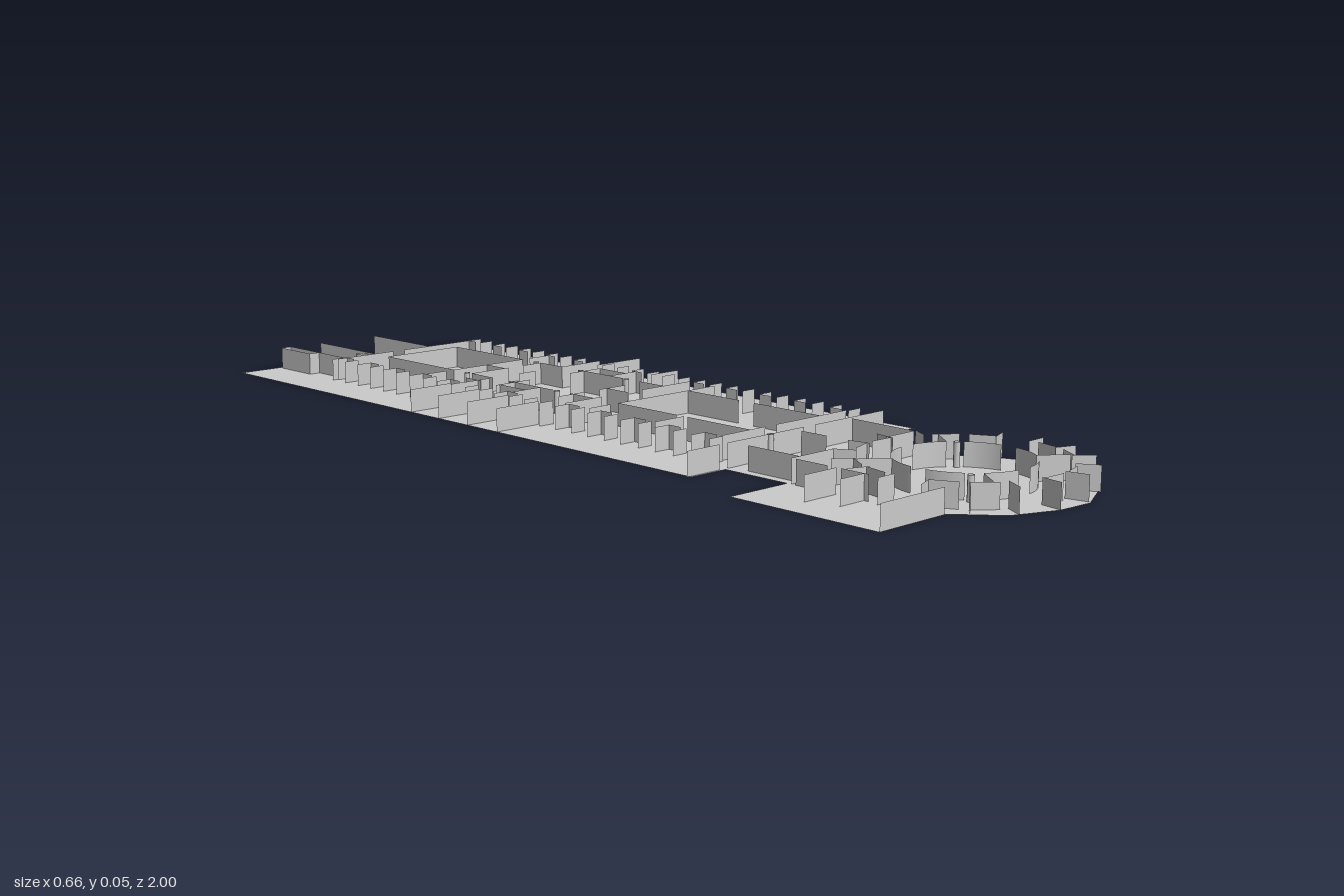
import * as THREE from 'three';

const H = 0.046;
const mat = new THREE.MeshStandardMaterial({ color: 0xcccccc, side: THREE.DoubleSide });

export function createModel() {
  const model = new THREE.Group();
  model.name = 'floorPlan';
  const section = (name) => {
    const g = new THREE.Group();
    g.name = name;
    model.add(g);
    return g;
  };
  const put = (group, geo, name, x, z, y = H / 2) => {
    const m = new THREE.Mesh(geo, mat);
    m.name = name;
    m.position.set(x, y, z);
    group.add(m);
    return m;
  };
  // Thin upright wall between two plan points
  const wall = (group, x1, z1, x2, z2, name = 'wall') => {
    const geo = new THREE.PlaneGeometry(Math.hypot(x2 - x1, z2 - z1), H);
    put(group, geo, name, (x1 + x2) / 2, (z1 + z2) / 2).rotation.y = -Math.atan2(z2 - z1, x2 - x1);
  };
  const alongX = (g, z, spans) => spans.forEach(([a, b]) => wall(g, a, z, b, z));
  const alongZ = (g, x, spans) => spans.forEach(([a, b]) => wall(g, x, a, x, b));

  // Floor slab outline, including the round wing and side platform
  const outline = [
    [-0.33, 0.56], [-0.19, 0.56], [-0.19, 0.415], [-0.275, 0.415], [-0.275, -1], [0.33, -1],
    [0.33, 0.415], [0.145, 0.42], [0.137, 0.57], [0.22, 0.645], [0.26, 0.75], [0.235, 0.86],
    [0.17, 0.945], [0.065, 0.995], [-0.01, 0.99], [-0.1, 0.955], [-0.165, 0.88], [-0.33, 0.88],
  ];
  const floorGeo = new THREE.ShapeGeometry(new THREE.Shape(outline.map((p) => new THREE.Vector2(...p))));
  floorGeo.rotateX(Math.PI / 2);
  put(model, floorGeo, 'floor', 0, 0, 0);

  // Side facades: regular fins with short wall panels between some of them
  const facade = section('facades');
  for (let i = 0; i <= 26; i++) {
    const z = -0.785 + i * 0.046;
    for (const [a, b] of [[-0.18, -0.145], [0.195, 0.23]]) {
      wall(facade, a, z, b, z, 'facadeFin');
      if (i % 2 === 0 && i < 26 && i !== 10 && i !== 14) {
        const x = a < 0 ? b : a;
        wall(facade, x, z, x, z + 0.03, 'facadePanel');
      }
    }
  }

  // End walls of the long building
  const ends = section('endWalls');
  alongX(ends, 0.41, [[-0.28, -0.2], [-0.18, 0.02], [0.05, 0.245]]);
  alongX(ends, -0.78, [[-0.17, -0.02], [0.01, 0.23]]);

  // Court rooms at both ends
  const courts = section('courtWalls');
  alongZ(courts, -0.07, [[0.01, 0.17], [0.2, 0.36], [-0.73, -0.5]]);
  alongZ(courts, 0.12, [[0.01, 0.15], [0.19, 0.36], [-0.73, -0.5]]);
  alongX(courts, 0.36, [[-0.145, -0.03], [0.0, 0.195]]);
  alongX(courts, 0.19, [[-0.145, -0.07]]);
  alongX(courts, 0.01, [[-0.145, -0.09], [-0.07, 0.195]]);
  alongX(courts, -0.5, [[-0.145, -0.09], [-0.07, 0.12], [0.14, 0.195]]);
  alongX(courts, -0.73, [[-0.07, 0.12]]);

  // Small rooms in the middle
  const rooms = section('middleRooms');
  alongX(rooms, -0.06, [[-0.145, -0.05], [0.06, 0.195]]);
  alongX(rooms, -0.12, [[-0.11, -0.04], [0.0, 0.07]]);
  alongX(rooms, -0.22, [[-0.145, -0.07], [0.12, 0.195]]);
  alongX(rooms, -0.3, [[-0.12, -0.03], [0.08, 0.165]]);
  alongX(rooms, -0.37, [[-0.145, -0.08], [0.0, 0.045], [0.12, 0.195]]);
  alongX(rooms, -0.44, [[-0.07, 0.03], [0.07, 0.12]]);
  alongZ(rooms, -0.11, [[-0.3, -0.22], [-0.41, -0.36]]);
  alongZ(rooms, -0.07, [[-0.13, -0.06], [-0.3, -0.18], [-0.44, -0.37]]);
  alongZ(rooms, 0.02, [[-0.12, -0.06], [-0.5, -0.44]]);
  alongZ(rooms, 0.12, [[-0.13, -0.06], [-0.3, -0.18], [-0.44, -0.37]]);
  alongZ(rooms, 0.165, [[-0.3, -0.22]]);

  // Terrace dividers reaching beyond the facades
  const terraces = section('terraceDividers');
  [-0.11, -0.2, -0.29, -0.38].forEach((z) => alongX(terraces, z, [[-0.275, -0.17]]));
  alongX(terraces, -0.335, [[0.19, 0.315]]);
  alongX(terraces, -0.17, [[0.19, 0.27]]);

  // Back yard walls with a small enclosed store
  const yard = section('backYard');
  [-0.15, -0.07, 0.08].forEach((x) => alongZ(yard, x, [[-0.99, -0.78]]));
  alongZ(yard, -0.175, [[-0.99, -0.88]]);
  alongX(yard, -0.99, [[-0.175, -0.15]]);
  alongX(yard, -0.88, [[-0.175, -0.15]]);

  // Connecting passage to the round wing
  const passage = section('passage');
  wall(passage, 0.142, 0.42, 0.137, 0.57);
  alongZ(passage, -0.17, [[0.45, 0.57]]);
  alongZ(passage, -0.01, [[0.43, 0.49]]);
  alongX(passage, 0.57, [[-0.19, -0.08], [0.06, 0.137]]);

  // Side platform
  const platform = section('sidePlatform');
  alongX(platform, 0.88, [[-0.33, -0.17]]);
  alongX(platform, 0.73, [[-0.25, -0.19]]);
  alongX(platform, 0.67, [[-0.27, -0.19]]);
  alongZ(platform, -0.19, [[0.58, 0.65], [0.68, 0.74]]);

  // Round wing: radial fins, faceted outer panels and a curved inner ring with openings
  const wing = section('roundWing');
  const cx = 0.03, cz = 0.765, N = 18;
  const at = (r, t) => [cx + r * Math.sin(t), cz + r * Math.cos(t)];
  for (let i = 0; i < N; i++) {
    const t = ((i + 0.5) / N) * Math.PI * 2;
    const t2 = t + (Math.PI * 2 / N) * 0.75;
    wall(wing, ...at(0.185, t), ...at(0.228, t), 'radialFin');
    if (i % 3 !== 1) wall(wing, ...at(0.19, t), ...at(0.19, t2), 'rimPanel');
  }
  for (let i = 0; i < 8; i++) {
    const start = (i / 8) * Math.PI * 2 + 0.12;
    put(wing, new THREE.CylinderGeometry(0.125, 0.125, H, 6, 1, true, start, 0.54), 'innerRingWall', cx, cz);
    if (i % 2) wall(wing, ...at(0.125, start), ...at(0.185, start), 'ringDivider');
  }

  // Round columns
  const columns = section('columns');
  const spots = [[-0.07, 0.41], [0.12, 0.68], [-0.07, 0.855]];
  for (const z of [-0.455, -0.31, -0.17]) spots.push([-0.07, z], [0.12, z]);
  spots.forEach(([x, z]) => put(columns, new THREE.CylinderGeometry(0.006, 0.006, H, 10, 1, true), 'column', x, z));

  // Square shaft by the back wall
  const shaft = put(model, new THREE.CylinderGeometry(0.014, 0.014, H, 4, 1, true), 'squareShaft', -0.09, -0.8);
  shaft.rotation.y = Math.PI / 4;
  return model;
}
